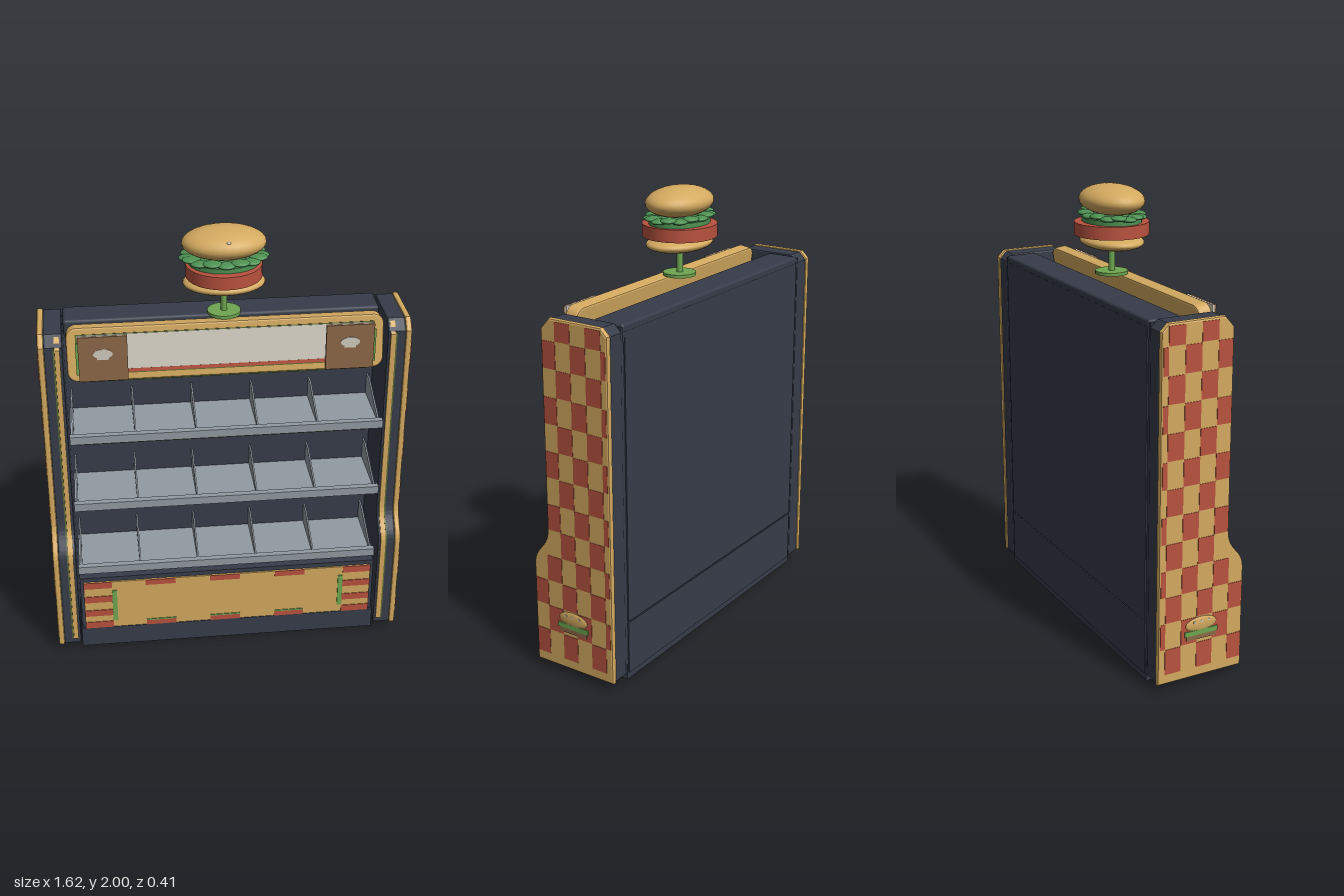
import * as THREE from 'three';
import { mergeGeometries } from 'three/addons/utils/BufferGeometryUtils.js';
import { RoundedBoxGeometry } from 'three/addons/geometries/RoundedBoxGeometry.js';

const mat = (name, color) => {
  const m = new THREE.MeshStandardMaterial({ color });
  m.name = name;
  return m;
};

export function createModel() {
  const tan = mat('bun tan', 0xd4aa60), red = mat('tomato red', 0xb9523f), dark = mat('slate', 0x363c49);
  const grey = mat('shelf grey', 0x919ba2), green = mat('leaf green', 0x6ea650), lettuceGreen = mat('lettuce green', 0x4d9152);
  const brown = mat('card brown', 0x8c6848), cream = mat('cream', 0xd3cdc0), olive = mat('olive', 0x5c6a30);

  const model = new THREE.Group();
  model.name = 'burgerDisplayShelf';

  const add = (name, geo, material, x = 0, y = 0, z = 0, parent = model) => {
    const m = new THREE.Mesh(geo, material);
    m.name = name;
    m.position.set(x, y, z);
    parent.add(m);
    return m;
  };
  // Box given by its lower and upper limits on each axis
  const box = (name, material, [x0, x1], [y0, y1], [z0, z1], parent = model) =>
    add(name, new THREE.BoxGeometry(x1 - x0, y1 - y0, z1 - z0), material,
      (x0 + x1) / 2, (y0 + y1) / 2, (z0 + z1) / 2, parent);
  // Extrude a (z, y) shape along x, centred on x = 0
  const extrudeX = (shape, width, bevel = 0) => {
    const g = new THREE.ExtrudeGeometry(shape, {
      depth: width - 2 * bevel, bevelEnabled: bevel > 0, bevelThickness: bevel,
      bevelSize: bevel, bevelOffset: -bevel, bevelSegments: 2, curveSegments: 10,
    });
    return g.translate(0, 0, bevel - width / 2).rotateY(-Math.PI / 2);
  };

  // Outline of a side wall, inset by d
  const sideShape = (d) => {
    const s = new THREE.Shape();
    s.moveTo(-0.203 + d, 0.03 + d);
    s.lineTo(0.203 - d, 0.03 + d);
    s.lineTo(0.203 - d, 0.49);
    s.bezierCurveTo(0.203 - d, 0.57, 0.127 - d, 0.57, 0.127 - d, 0.67);
    s.lineTo(0.127 - d, 1.54);
    s.lineTo(0.085 - d, 1.588 - d);
    s.lineTo(-0.17 + d, 1.588 - d);
    s.lineTo(-0.203 + d, 1.555 - d);
    s.closePath();
    return s;
  };
  // Thin band following the front edge
  const trimShape = (a, b) => {
    const s = new THREE.Shape();
    s.moveTo(a + 0.075, 0.06);
    s.lineTo(b + 0.075, 0.06);
    s.lineTo(b + 0.075, 0.49);
    s.bezierCurveTo(b + 0.075, 0.57, b, 0.57, b, 0.67);
    s.lineTo(b, 1.53);
    s.lineTo(b - 0.04, 1.575);
    s.lineTo(a - 0.04, 1.565);
    s.lineTo(a, 1.53);
    s.lineTo(a, 0.67);
    s.bezierCurveTo(a, 0.57, a + 0.075, 0.57, a + 0.075, 0.49);
    s.closePath();
    return s;
  };

  // Red checks on the outer wall, cut off at the front edge
  const frontLimit = (y) => 0.12 + 0.075 * (1 - THREE.MathUtils.smoothstep(y, 0.49, 0.66));
  const checks = [];
  for (let r = 0; r < 13; r++) {
    const y0 = 0.075 + 0.1185 * r, y1 = Math.min(y0 + 0.115, 1.578);
    for (let k = -1; k < 5; k++) {
      if ((k + r) % 2 !== 0) continue;
      const z0 = Math.max(-0.195, -0.172 + 0.0755 * k);
      const z1 = Math.min(-0.172 + 0.0755 * (k + 1), frontLimit(y1));
      const top = z1 > 0.08 ? Math.min(y1, 1.54) : y1;
      if (z1 - z0 < 0.005) continue;
      checks.push(new THREE.BoxGeometry(0.004, top - y0, z1 - z0).translate(0, (y0 + top) / 2, (z0 + z1) / 2));
    }
  }
  const checkGeo = mergeGeometries(checks);

  // Side walls
  for (const [side, name] of [[1, 'left'], [-1, 'right']]) {
    const wall = new THREE.Group();
    wall.name = name + 'Wall';
    model.add(wall);
    add('outerPanel', extrudeX(sideShape(0), 0.027, 0.008), tan, side * 0.7865, 0, 0, wall);
    add('wallBody', extrudeX(sideShape(0.004), 0.08, 0.008), dark, side * 0.735, 0, 0, wall);
    add('frontTrim', extrudeX(trimShape(0.11, 0.131), 0.022), tan, side * 0.718, 0, 0, wall);
    add('trimLine', extrudeX(trimShape(0.11, 0.127), 0.006), olive, side * 0.733, 0, 0, wall);
    add('redChecks', checkGeo, red, side * 0.8, 0, 0, wall);
    // small burger badge
    const sx = side * 0.802;
    const bun = add('badgeBun', new THREE.SphereGeometry(1, 20, 10), tan, sx, 0.275, 0, wall);
    bun.scale.set(0.008, 0.033, 0.075);
    box('badgeLettuce', green, [sx - 0.005, sx + 0.005], [0.228, 0.25], [-0.08, 0.08], wall);
    box('badgePatty', brown, [sx - 0.004, sx + 0.004], [0.208, 0.228], [-0.072, 0.072], wall);
    for (const z of [-0.035, 0, 0.035]) {
      box('badgeSeed', cream, [sx - 0.008, sx + 0.008], [0.285, 0.293], [z - 0.005, z + 0.005], wall);
    }
  }

  // Cabinet shell
  box('backWall', dark, [-0.7, 0.7], [0.03, 1.57], [-0.195, -0.13]);
  box('upperBackPanel', dark, [-0.68, 0.68], [0.275, 1.55], [-0.201, -0.19]);
  box('lowerBackPanel', dark, [-0.68, 0.68], [0.03, 0.268], [-0.201, -0.19]);
  add('topCap', new RoundedBoxGeometry(1.38, 0.08, 0.15, 2, 0.012), dark, 0, 1.54, -0.125);
  box('base', dark, [-0.69, 0.69], [0, 0.1], [-0.197, 0.187]);
  box('lowerBox', dark, [-0.685, 0.685], [0.1, 0.38], [-0.19, 0.176]);

  // Patterned front panel
  box('frontPanel', tan, [-0.67, 0.67], [0.1, 0.358], [0.176, 0.184]);
  const paint = [0.183, 0.187];
  for (const side of [-1, 1]) {
    const span = (a, b) => (side > 0 ? [a, b] : [-b, -a]);
    for (const y of [0.1, 0.168, 0.246, 0.325]) {
      box('panelStripe', red, span(0.54, 0.67), [y, y + 0.034], paint);
    }
    box('panelGreenMark', green, span(0.518, 0.54), [0.14, 0.31], [0.183, 0.189]);
  }
  for (const x of [-0.315, -0.015, 0.288]) {
    box('panelTopMark', red, [x - 0.07, x + 0.07], [0.33, 0.358], paint);
    box('panelBottomMark', red, [x - 0.07, x + 0.07], [0.1, 0.125], paint);
    box('panelGreenLine', green, [x - 0.07, x + 0.07], [0.125, 0.132], paint);
  }

  // Shelves with sloping dividers
  const divider = new THREE.Shape([[-0.13, 0], [0.135, 0], [0.135, 0.03], [-0.08, 0.115], [-0.13, 0.115]]
    .map(([z, y]) => new THREE.Vector2(z, y)));
  const dividerGeo = extrudeX(divider, 0.007);
  [0.4, 0.745, 1.09].forEach((y, i) => {
    const shelf = new THREE.Group();
    shelf.name = 'shelf' + (i + 1);
    model.add(shelf);
    box('shelfBoard', grey, [-0.685, 0.685], [y, y + 0.018], [-0.13, 0.14], shelf);
    box('shelfLip', grey, [-0.688, 0.688], [y - 0.002, y + 0.036], [0.138, 0.166], shelf);
    box('shelfSupport', dark, [-0.68, 0.68], [y - 0.022, y], [-0.13, 0.13], shelf);
    if (i > 0) box('lightStrip', olive, [-0.65, 0.65], [y - 0.04, y - 0.022], [0.09, 0.105], shelf);
    for (const x of [-0.673, -0.402, -0.135, 0.135, 0.402, 0.673]) {
      add('divider', dividerGeo, grey, x, y, 0, shelf);
    }
  });

  // Tilted header sign
  const header = new THREE.Group();
  header.name = 'headerSign';
  header.position.set(0, 1.488, 0.078);
  header.rotation.x = -0.15;
  model.add(header);
  const w = 0.68, h = 0.12, r = 0.045;
  const sign = new THREE.Shape();
  sign.moveTo(-w + r, -h);
  sign.absarc(w - r, -h + r, r, -Math.PI / 2, 0);
  sign.absarc(w - r, h - r, r, 0, Math.PI / 2);
  sign.absarc(-w + r, h - r, r, Math.PI / 2, Math.PI);
  sign.absarc(-w + r, -h + r, r, Math.PI, Math.PI * 1.5);
  const signGeo = new THREE.ExtrudeGeometry(sign, {
    depth: 0.044, bevelThickness: 0.008, bevelSize: 0.008, bevelOffset: -0.008, bevelSegments: 2, curveSegments: 8,
  }).translate(0, 0, -0.022);
  add('signFrame', signGeo, tan, 0, 0, 0, header);
  box('signBorder', olive, [-0.64, 0.64], [-0.088, 0.09], [0.028, 0.032], header);
  box('signFace', cream, [-0.632, 0.632], [-0.07, 0.086], [0.03, 0.034], header);
  box('signRedLine', red, [-0.632, 0.632], [-0.083, -0.068], [0.03, 0.0345], header);
  box('signLight', olive, [-0.62, 0.62], [-0.127, -0.115], [-0.01, 0.015], header);

  // Cards at both ends of the sign
  for (const side of [-1, 1]) {
    const x = side * 0.527;
    box('cardEdge', green, [x + side * 0.108 - 0.006, x + side * 0.108 + 0.006], [1.41, 1.56], [0.128, 0.134]);
    box('cardBack', cream, [x - 0.103, x + 0.103], [1.385, 1.59], [0.128, 0.138]);
    box('cardFace', brown, [x - 0.104, x + 0.104], [1.384, 1.591], [0.137, 0.145]);
    const blob = add('cardMark', new THREE.CylinderGeometry(1, 1, 0.003, 16).rotateX(Math.PI / 2), cream, x, 1.512, 0.146);
    blob.scale.set(0.042, 0.022, 1);
    box('cardMarkFoot', cream, [x - 0.025, x + 0.025], [1.485, 1.498], [0.144, 0.147]);
  }

  // Burger on a stand
  const burger = new THREE.Group();
  burger.name = 'burger';
  model.add(burger);
  const ellipsoid = (name, material, x, y, z, sx, sy, sz) =>
    add(name, new THREE.SphereGeometry(1, 32, 18), material, x, y, z, burger).scale.set(sx, sy, sz);
  add('standDisc', new THREE.CylinderGeometry(0.072, 0.072, 0.014, 28), green, 0, 1.617, 0, burger);
  add('standPole', new THREE.CylinderGeometry(0.014, 0.014, 0.13, 14), green, 0, 1.675, 0, burger);
  ellipsoid('bottomBun', tan, 0, 1.756, 0, 0.176, 0.038, 0.13);
  add('patty', new THREE.CylinderGeometry(0.163, 0.163, 0.056, 36), red, 0, 1.813, 0, burger);
  const bed = add('lettuceBed', new THREE.CylinderGeometry(1, 1, 0.022, 32), lettuceGreen, 0, 1.851, 0, burger);
  bed.scale.set(0.15, 1, 0.125);
  for (let i = 0; i < 16; i++) {
    const a = (i / 16) * Math.PI * 2;
    ellipsoid('lettuceLeaf', lettuceGreen, Math.cos(a) * 0.152, 1.872 + 0.003 * (i % 2 ? 1 : -1), Math.sin(a) * 0.104,
      0.04, 0.012, 0.034);
  }
  ellipsoid('topBun', tan, 0, 1.934, 0, 0.179, 0.066, 0.132);
  ellipsoid('sesameSeed', cream, 0.008, 1.97, 0.11, 0.009, 0.005, 0.006);

  return model;
}
